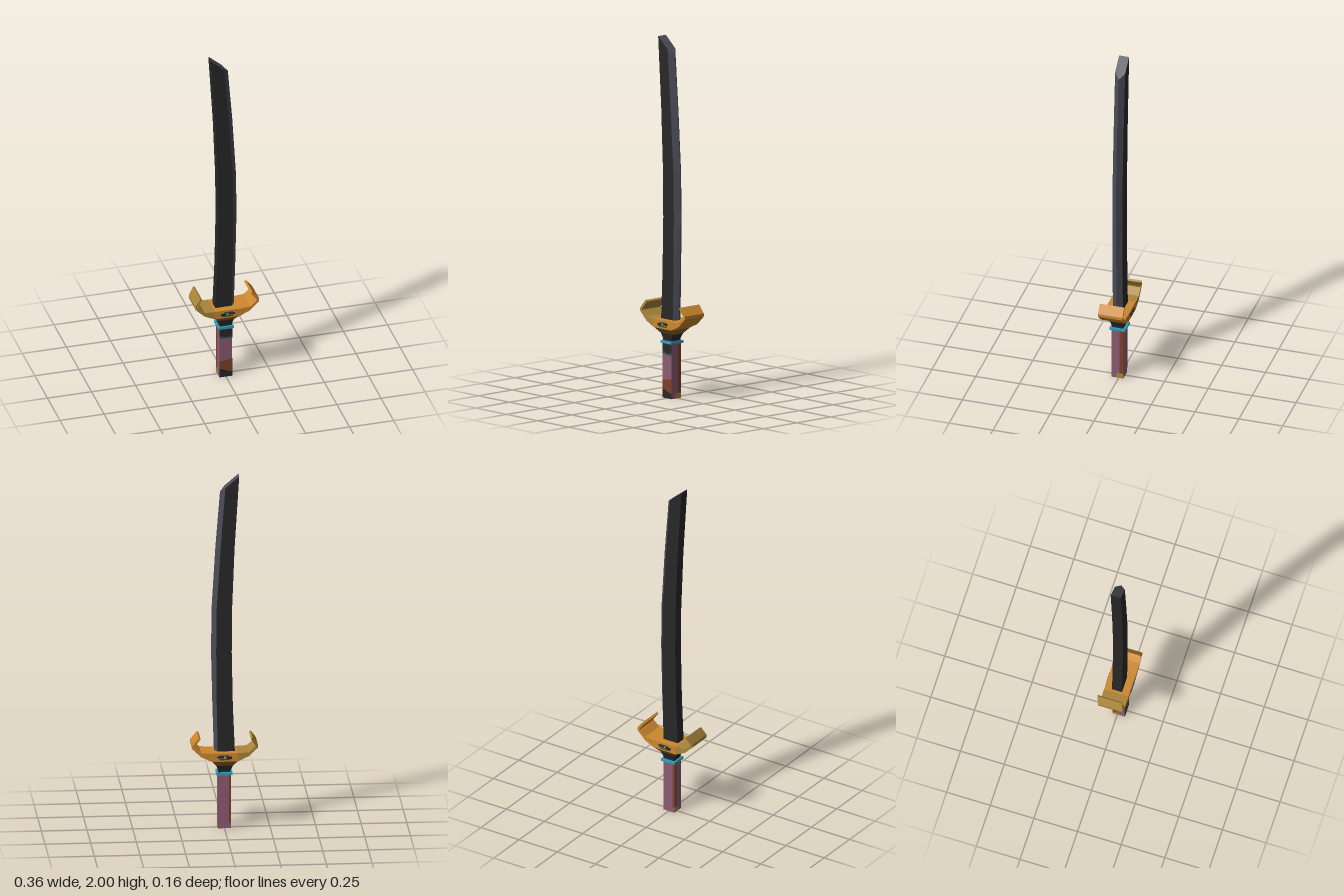
import * as THREE from 'three';

const mat = (name, color) => {
  const m = new THREE.MeshStandardMaterial({ color });
  m.name = name;
  m.flatShading = true;
  return m;
};

// Skin between rings of [x, y, z] points (counter-clockwise from above), one material slot per side
function loft(rings, slots, capSlot = 0) {
  const bySlot = {};
  const add = (slot, ...pts) => (bySlot[slot] ??= []).push(...pts);
  const n = rings[0].length;
  for (let r = 0; r < rings.length - 1; r++) {
    for (let i = 0; i < n; i++) {
      const j = (i + 1) % n, lo = rings[r], hi = rings[r + 1];
      add(slots[i], lo[i], lo[j], hi[j], lo[i], hi[j], hi[i]);
    }
  }
  const top = rings[rings.length - 1], base = rings[0];
  for (let i = 1; i < n - 1; i++) {
    add(capSlot, top[0], top[i], top[i + 1]);
    add(capSlot, base[0], base[i + 1], base[i]);
  }
  const g = new THREE.BufferGeometry(), pos = [];
  for (const [slot, pts] of Object.entries(bySlot)) {
    g.addGroup(pos.length / 3, pts.length, Number(slot));
    pos.push(...pts.flat());
  }
  g.setAttribute('position', new THREE.Float32BufferAttribute(pos, 3));
  g.computeVertexNormals();
  return g;
}

const rect = (y, hx, z0, z1) => [[-hx, y, z1], [hx, y, z1], [hx, y, z0], [-hx, y, z0]];
const polygon = pts => new THREE.Shape(pts.map(([x, y]) => new THREE.Vector2(x, y)));

export function createModel() {
  const model = new THREE.Group();
  model.name = 'sword';
  const black = mat('blade black', 0x282828);
  const steel = mat('edge steel', 0x4b4b57);
  const gold = mat('gold', 0xcc872f);
  const olive = mat('olive gold', 0xa98539);
  const brown = mat('bronze', 0x86632a);
  const mauve = mat('grip mauve', 0x8c5c72);
  const rust = mat('grip rust', 0x80402a);
  const cyan = mat('collar blue', 0x2f9fc4);
  const teal = mat('dark teal', 0x34504e);

  const add = (name, geometry, material, parent = model) => {
    const mesh = new THREE.Mesh(geometry, material);
    mesh.name = name;
    parent.add(mesh);
    return mesh;
  };

  // Curved blade: y, back x, bevel x, edge x
  const sections = [
    [0.42, -0.058, 0.036, 0.055],
    [0.7, -0.046, 0.042, 0.064],
    [1.0, -0.04, 0.045, 0.071],
    [1.25, -0.042, 0.042, 0.068],
    [1.6, -0.056, 0.02, 0.047],
  ].map(([y, b, m, e]) => [[b, y], [m, y], [e, y]]);
  sections.push([[-0.081, 2], [-0.005, 1.935], [0.022, 1.91]]);
  const rings = sections.map(([b, m, e]) => [
    [...b, 0.033], [...m, 0.033], [...e, 0.005], [...m, -0.024], [...b, -0.024],
  ]);
  add('blade', loft(rings, [0, 1, 1, 0, 0], 1), [black, steel]);

  // Guard: centre block and two hooked arms
  const guard = new THREE.Group();
  guard.name = 'guard';
  model.add(guard);
  const slab = pts => new THREE.ExtrudeGeometry(polygon(pts), { depth: 0.14, bevelEnabled: false })
    .translate(0, 0, -0.065);
  add('guardCentre', slab([[-0.072, 0.39], [0.072, 0.39], [0.072, 0.437], [-0.072, 0.437]]), gold, guard);
  const arm = [[0.07, 0.39], [0.13, 0.418], [0.18, 0.466], [0.18, 0.483], [0.143, 0.528],
    [0.133, 0.52], [0.166, 0.478], [0.166, 0.472], [0.13, 0.44], [0.07, 0.437]];
  add('leftArm', slab(arm), gold, guard);
  const rightArm = slab(arm.map(([x, y]) => [-x, y]).reverse());
  const p = rightArm.attributes.position;
  for (let i = 0; i < p.count; i++) {
    if (p.getY(i) > 0.5) p.setXYZ(i, p.getX(i) - 0.008, p.getY(i), p.getZ(i) - 0.012);
  }
  rightArm.computeVertexNormals();
  add('rightArm', rightArm, olive, guard);

  // Funnel under the guard, neck and collar
  add('guardFunnel', loft([rect(0.358, 0.045, -0.035, 0.045), rect(0.392, 0.072, -0.065, 0.075)], [0, 0, 0, 0]), [brown]);
  add('neck', loft([rect(0.305, 0.034, -0.026, 0.04), rect(0.33, 0.034, -0.026, 0.04),
    rect(0.36, 0.046, -0.036, 0.046)], [0, 0, 0, 0]), [black]);
  add('collar', new THREE.BoxGeometry(0.088, 0.014, 0.09).translate(0, 0.312, 0.006), cyan);

  // Small dark ornaments on both faces of the guard
  for (const side of [1, -1]) {
    for (const [x, y, w, h, m] of [[-0.022, 0.413, 0.03, 0.012, black], [0.024, 0.416, 0.034, 0.01, black],
      [0, 0.403, 0.06, 0.007, teal], [0.005, 0.424, 0.05, 0.006, teal]]) {
      add('guardOrnament', new THREE.BoxGeometry(w, h, 0.004)
        .translate(x, y, side > 0 ? 0.076 : -0.066), m, guard);
    }
  }

  // Grip with painted patches
  const grip = new THREE.Group();
  grip.name = 'grip';
  model.add(grip);
  const hx = 0.036, zf = 0.042, zb = -0.027;
  add('gripCore', loft([rect(0, hx, zb, zf), rect(0.308, hx, zb, zf)], [0, 0, 0, 0], 1), [mauve, rust], grip);
  const patch = (name, pts, material, turn, x, z) => add(name,
    new THREE.ShapeGeometry(polygon(pts)).rotateY(turn).translate(x, 0, z), material, grip);
  const front = (name, pts, m) => patch(name, pts, m, 0, 0, zf + 0.001);
  front('frontTopPatch', [[-hx, 0.262], [0, 0.25], [hx, 0.255], [hx, 0.308], [-hx, 0.308]], black);
  front('frontTealPatch', [[-hx, 0.245], [hx, 0.24], [hx, 0.255], [0, 0.25], [-hx, 0.262]], teal);
  front('frontRustPatch', [[-hx, 0.055], [0.01, 0.035], [hx, 0.03], [hx, 0.11], [0.005, 0.105], [-hx, 0.1]], rust);
  front('frontBasePatch', [[-hx, 0], [hx, 0], [hx, 0.03], [0.01, 0.035], [-hx, 0.055]], black);

  // Rust strips along the rear of both sides, with a gold corner at the foot
  for (const side of [1, -1]) {
    const turn = side * Math.PI / 2, x = side * (hx + 0.001);
    const strip = (a, b, y0, y1) => {
      const [l, r] = side > 0 ? [-b, -a] : [a, b];
      return [[l, y0], [r, y0], [r, y1], [l, y1]];
    };
    patch('sideRustStrip', strip(zb, -0.004, 0.03, 0.3), rust, turn, x, 0);
    patch('sideFootPatch', strip(zb, 0.012, 0, 0.03), olive, turn, x, 0);
  }
  patch('backRustStrip', [[0.024, 0.03], [hx, 0.03], [hx, 0.3], [0.024, 0.3]], rust, Math.PI, 0, zb - 0.001);
  return model;
}
